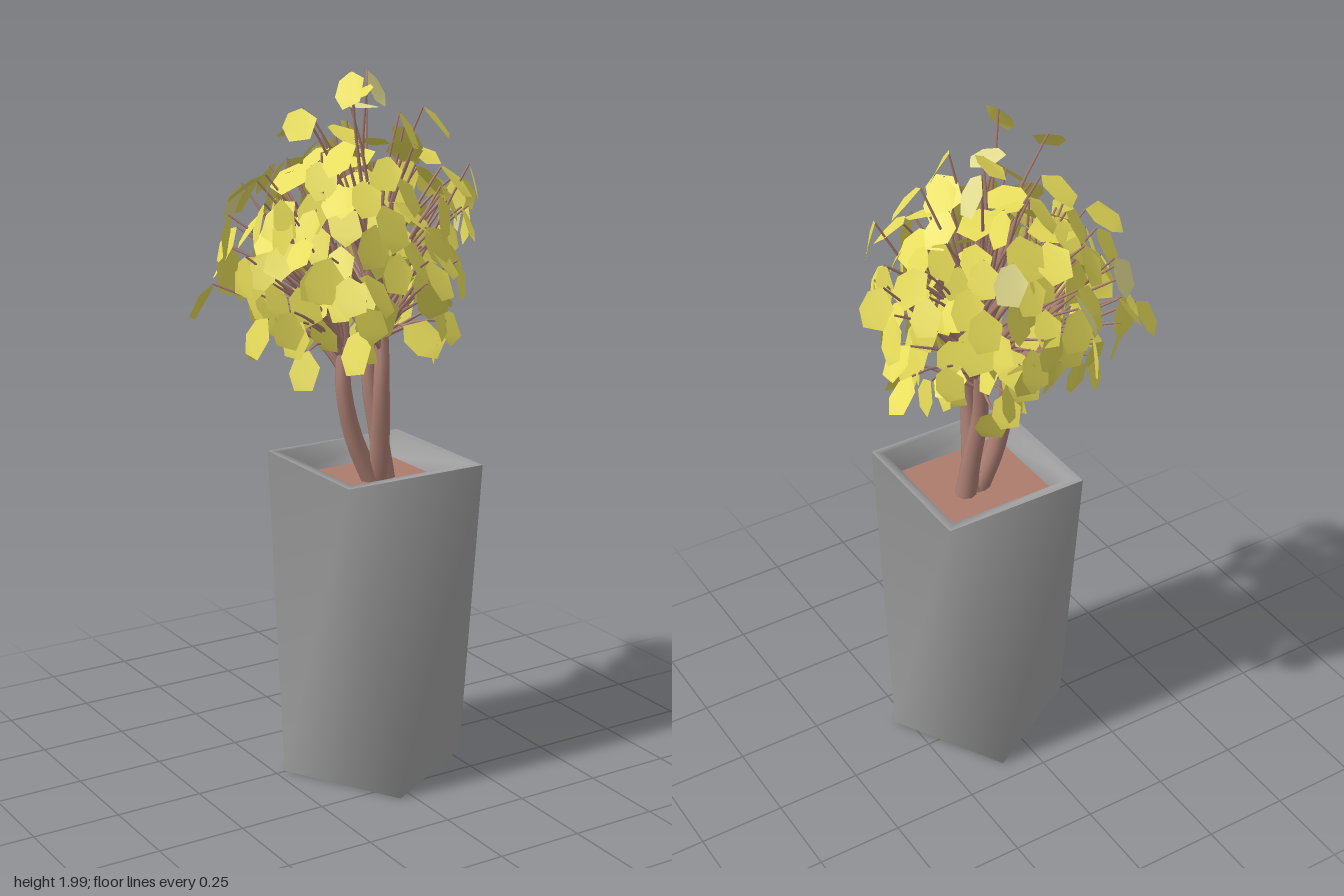
import * as THREE from 'three';
import { mergeGeometries } from 'three/addons/utils/BufferGeometryUtils.js';

const V = (x, y, z) => new THREE.Vector3(x, y, z);
const mat = (name, color, side = THREE.FrontSide) => {
  const m = new THREE.MeshStandardMaterial({ color, side });
  m.name = name;
  return m;
};

// Seeded random numbers
let seed = 7;
const rnd = () => {
  seed = (seed * 16807) % 2147483647;
  return seed / 2147483647;
};
const jit = (a) => (rnd() * 2 - 1) * a;

// Smooth band through square rings [radius, height, turn in degrees]
const CX = 0.033, CZ = 0.067;
function band(...rings) {
  const pos = [], idx = [];
  rings.forEach(([r, y, turn], j) => {
    for (let i = 0; i < 4; i++) {
      const t = THREE.MathUtils.degToRad(turn + i * 90);
      pos.push(CX + r * Math.sin(t), y, CZ + r * Math.cos(t));
      if (j === rings.length - 1) continue;
      const a = j * 4 + i, b = j * 4 + (i + 1) % 4;
      idx.push(a, b, b + 4, a, b + 4, a + 4);
    }
  });
  const g = new THREE.BufferGeometry();
  g.setAttribute('position', new THREE.Float32BufferAttribute(pos, 3));
  g.setIndex(idx);
  g.computeVertexNormals();
  return g;
}

// Tube along a curve, tapering from r0 to r1
function taperTube(path, segs, sides, r0, r1) {
  const g = new THREE.TubeGeometry(path, segs, 1, sides);
  const p = g.attributes.position, v = V(0, 0, 0);
  for (let i = 0; i <= segs; i++) {
    const c = path.getPointAt(i / segs), r = r0 + (r1 - r0) * i / segs;
    for (let k = 0; k <= sides; k++) {
      const n = i * (sides + 1) + k;
      v.fromBufferAttribute(p, n).sub(c).multiplyScalar(r).add(c);
      p.setXYZ(n, v.x, v.y, v.z);
    }
  }
  return g;
}

// Blunt, uneven leaf growing along +y from its stalk, slightly bent back
const leafShape = new THREE.Shape([
  [0, 0], [0.034, 0.022], [0.044, 0.07], [0.022, 0.112], [-0.032, 0.104], [-0.044, 0.04],
].map(([x, y]) => new THREE.Vector2(x, y)));

function leaf(base, along, normal, size) {
  const g = new THREE.ShapeGeometry(leafShape);
  const p = g.attributes.position;
  for (let i = 0; i < p.count; i++) p.setZ(i, -1.8 * p.getY(i) ** 2);
  g.computeVertexNormals();
  const x = V(0, 0, 0).crossVectors(along, normal).normalize();
  const z = V(0, 0, 0).crossVectors(x, along).normalize();
  const m = new THREE.Matrix4().makeBasis(x, along, z);
  m.scale(V(size, size, size)).setPosition(base);
  return g.applyMatrix4(m);
}

export function createModel() {
  seed = 7;
  const group = new THREE.Group();
  const potMat = mat('pot grey', 0x9e9e9e);
  const soilMat = mat('soil brown', 0xac7c6c);
  const barkMat = mat('bark brown', 0xac8074);
  const leafMat = mat('leaf yellow', 0xf2e75e, THREE.DoubleSide);
  const paleMat = mat('pale leaf', 0xe6e092, THREE.DoubleSide);
  const add = (name, geos, material) => {
    const mesh = new THREE.Mesh(mergeGeometries(geos), material);
    mesh.name = name;
    group.add(mesh);
  };

  // Twisted square pot with a softly shaded rim and a sunken bed
  const foot = [0.265, 0, 74.5], lip = [0.307, 0.915, 45];
  const rim = [0.27, 0.915, 45], bed = [0.24, 0.85, 45];
  add('pot', [band(foot, lip), band(lip, rim, bed), band([0, 0, 74.5], foot)], potMat);
  add('soil', [band(bed, [0, 0.85, 45])], soilMat);

  // Three bowed trunks
  const trunks = [
    [[0.035, 0.84, 0.06], [-0.02, 0.97, 0.05], [-0.053, 1.12, 0.045], [-0.04, 1.3, 0.02], [-0.06, 1.52, 0.0]],
    [[0.045, 0.84, 0.06], [0.04, 0.95, 0.085], [0.028, 1.13, 0.112], [0.04, 1.3, 0.09], [0.01, 1.55, 0.08]],
    [[0.08, 0.84, 0.05], [0.065, 0.97, 0.04], [0.048, 1.12, 0.02], [0.058, 1.3, 0.0], [0.07, 1.55, -0.03]],
  ].map((pts) => new THREE.CatmullRomCurve3(pts.map((p) => V(...p))));
  add('trunks', trunks.map((c) => taperTube(c, 14, 8, 0.031, 0.012)), barkMat);

  const twigs = [], leaves = [], paleLeaves = [];
  // A bent twig from the nearest trunk up to a leaf
  const twig = (end, t, r0) => {
    let start = null;
    for (const c of trunks) {
      const s = c.getPointAt(t);
      if (!start || s.distanceTo(end) < start.distanceTo(end)) start = s;
    }
    const mid = start.clone().lerp(end, 0.55).add(V(jit(0.025), 0.03, jit(0.025)));
    twigs.push(taperTube(new THREE.QuadraticBezierCurve3(start, mid, end), 4, 5, r0, 0.003));
  };
  // A drooping leaf around a centre; returns where its stalk joins
  const hangLeaf = (list, centre, dir, size) => {
    const normal = V(dir.x + jit(0.6), dir.y * 0.45 + 0.5 + jit(0.45), dir.z + jit(0.6)).normalize();
    const along = V(dir.x * 0.6 + jit(0.5), -0.9 + jit(0.4), dir.z * 0.6 + jit(0.5));
    along.addScaledVector(normal, -along.dot(normal)).normalize();
    const base = centre.clone().addScaledVector(along, -0.055 * size);
    list.push(leaf(base, along, normal, size));
    return base;
  };

  // Loose crown, spread over a flattened ball
  const count = 170;
  for (let i = 0; i < count; i++) {
    const y = 1 - 1.85 * (i + 0.5) / count, a = i * 2.39996 + jit(0.25);
    const s = Math.sqrt(1 - y * y);
    const dir = V(s * Math.cos(a), y, s * Math.sin(a));
    const k = i % 3 === 0 ? 0.5 + rnd() * 0.3 : 0.78 + rnd() * 0.27;
    const centre = V(dir.x * 0.37 * k, 1.5 + y * 0.33 * k, dir.z * 0.325 * k);
    const base = hangLeaf(leaves, centre, dir, 0.9 + rnd() * 0.25);
    const t = THREE.MathUtils.clamp(0.5 + (y + 1) * 0.2 + jit(0.06), 0.48, 0.95);
    twig(base, t, i % 3 === 0 ? 0.012 : 0.007);
  }

  // Tall and wide shoots beyond the crown
  const shoots = [
    [-0.09, 1.955, 0.13], [0.17, 1.92, -0.14], [0.04, 1.92, -0.03], [-0.22, 1.87, 0.1], [0.25, 1.84, 0.05],
    [0, 1.9, 0.05], [-0.12, 1.84, -0.1], [0.08, 1.84, 0.17], [0.395, 1.62, -0.05], [0.34, 1.58, 0.02],
    [-0.4, 1.38, -0.13], [-0.33, 1.35, 0.22], [0.22, 1.62, -0.29], [-0.07, 1.6, -0.32], [-0.2, 1.45, 0.32],
    [0.17, 1.26, 0.2], [0.06, 1.4, 0.31], [-0.23, 1.62, -0.25], [-0.2, 1.2, 0.08], [0.11, 1.2, -0.14],
    [-0.24, 1.25, -0.12], [0.13, 1.72, -0.27], [-0.35, 1.46, 0.02], [0.29, 1.68, 0.18], [-0.28, 1.62, 0.11],
  ];
  shoots.forEach((p, i) => {
    const centre = V(...p);
    const dir = centre.clone().sub(V(0, 1.55, 0)).normalize();
    const base = hangLeaf(i % 4 === 1 ? paleLeaves : leaves, centre, dir, 1);
    twig(base, p[1] > 1.7 ? 0.9 : 0.6, 0.007);
  });
  add('twigs', twigs, barkMat);
  add('leaves', leaves, leafMat);
  add('paleLeaves', paleLeaves, paleMat);
  return group;
}
